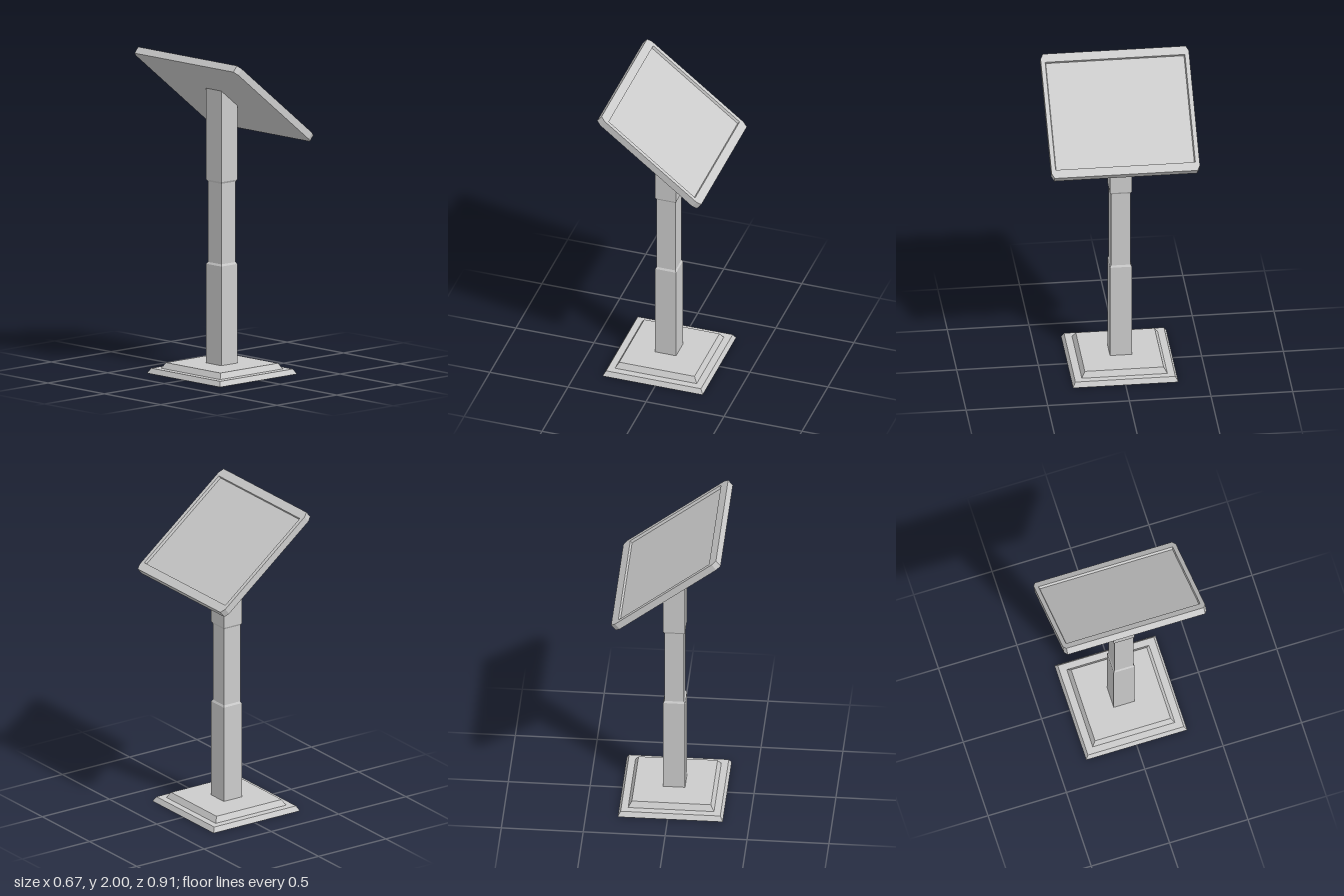
import * as THREE from 'three';

const material = new THREE.MeshStandardMaterial({ color: 0xcccccc, flatShading: true });

// Rectangular cross-section at height y (number or function of x), corners cut by cx and cz
function ring(hx, hz, y, cx = 0, cz = 0) {
  const points = [];
  [[1, 1], [1, -1], [-1, -1], [-1, 1]].forEach(([sx, sz], k) => {
    const onZSide = [sx * (hx - cx), sz * hz];
    const onXSide = [sx * hx, sz * (hz - cz)];
    const pair = k % 2 === 0 ? [onZSide, onXSide] : [onXSide, onZSide];
    for (const [x, z] of pair) {
      points.push(new THREE.Vector3(x, typeof y === 'function' ? y(x) : y, z));
    }
  });
  return points;
}

// Closed solid through a stack of cross-sections
function loft(name, rings) {
  const positions = [];
  const tri = (a, b, c) => {
    const area = b.clone().sub(a).cross(c.clone().sub(a)).length();
    if (area > 1e-9) for (const p of [a, b, c]) positions.push(p.x, p.y, p.z);
  };
  const n = rings[0].length;
  for (let r = 0; r < rings.length - 1; r++) {
    const a = rings[r], b = rings[r + 1];
    for (let i = 0; i < n; i++) {
      const j = (i + 1) % n;
      tri(a[i], a[j], b[j]);
      tri(a[i], b[j], b[i]);
    }
  }
  const bottom = rings[0], top = rings[rings.length - 1];
  for (let i = 1; i < n - 1; i++) {
    tri(bottom[0], bottom[i + 1], bottom[i]);
    tri(top[0], top[i], top[i + 1]);
  }
  const geometry = new THREE.BufferGeometry();
  geometry.setAttribute('position', new THREE.Float32BufferAttribute(positions, 3));
  geometry.computeVertexNormals();
  const mesh = new THREE.Mesh(geometry, material);
  mesh.name = name;
  return mesh;
}

export function createModel() {
  const group = new THREE.Group();
  group.name = 'tiltedDisplayStand';
  const tilt = Math.atan2(0.51, 0.64);

  // Two-tier base with sloping edges
  const base = loft('base', [
    ring(0.32, 0.322, 0),
    ring(0.32, 0.322, 0.004),
    ring(0.304, 0.306, 0.032),
    ring(0.262, 0.262, 0.032),
    ring(0.241, 0.241, 0.067),
  ]);
  base.position.x = -0.016;

  // Square column with a narrower middle, cut obliquely under the panel
  const column = loft('column', [
    ring(0.067, 0.067, 0.06),
    ring(0.067, 0.067, 0.68),
    ring(0.06, 0.06, 0.692),
    ring(0.06, 0.06, 1.19),
    ring(0.067, 0.067, 1.202),
    ring(0.067, 0.067, (x) => 1.715 - x * Math.tan(tilt)),
  ]);
  column.position.x = -0.018;

  // Tilted panel: cut corners, raised rim and recessed screen
  const panel = loft('panel', [
    ring(0.409, 0.454, -0.046, 0.032, 0.016),
    ring(0.409, 0.454, 0, 0.032, 0.016),
    ring(0.354, 0.428, 0),
    ring(0.352, 0.423, -0.016),
  ]);
  panel.position.set(0.015, 1.745, 0);
  panel.rotation.z = -tilt;

  group.add(base, column, panel);
  return group;
}
